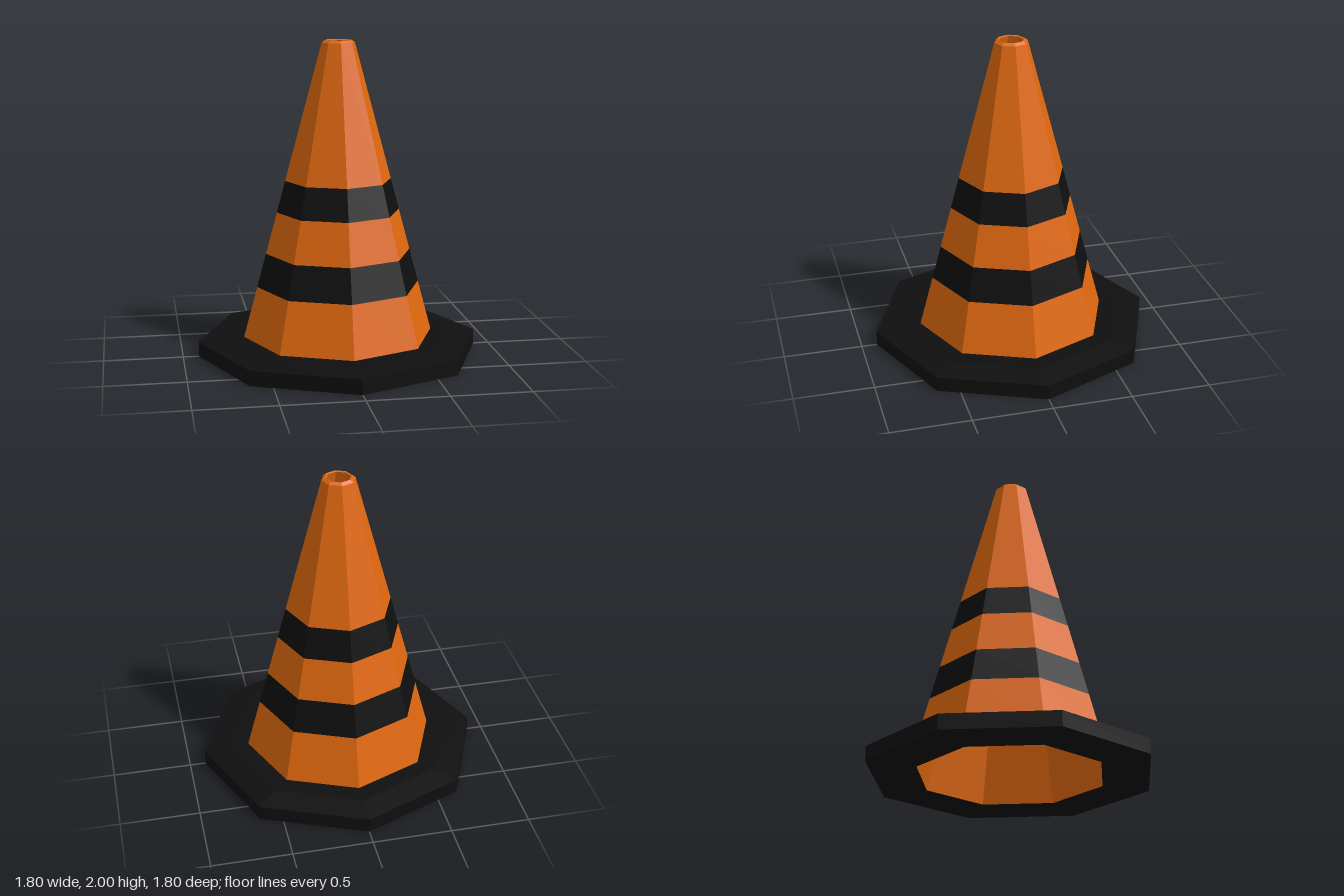
import * as THREE from 'three';

const SIDES = 8;
const orange = new THREE.MeshStandardMaterial({ color: 0xe0680f, flatShading: true });
const black = new THREE.MeshStandardMaterial({ color: 0x0f0f0f, flatShading: true });

// Outer cone wall: radius at a given height
const BOTTOM = 0.115, TOP = 1.985;
const wallRadius = (y) => THREE.MathUtils.mapLinear(y, BOTTOM, TOP, 0.61, 0.105);

// Octagonal ring turned from [radius, height] points
function turned(name, points, material) {
  const profile = points.map(([r, y]) => new THREE.Vector2(r, y));
  const mesh = new THREE.Mesh(new THREE.LatheGeometry(profile, SIDES), material);
  mesh.name = name;
  return mesh;
}

export function createModel() {
  const group = new THREE.Group();
  group.name = 'trafficCone';

  // Base plate with a sloped rim and an open centre
  group.add(turned('base', [[0.59, 0], [0.9, 0], [0.9, 0.095], [0.73, 0.115], [0.6, 0.115]], black));

  // Cone wall in alternating orange sections and black stripes
  const heights = [BOTTOM, 0.44, 0.655, 0.92, 1.12, TOP];
  for (let i = 0; i < heights.length - 1; i++) {
    const [a, b] = [heights[i], heights[i + 1]];
    const stripe = i % 2 === 1;
    group.add(turned(
      (stripe ? 'stripe' : 'coneSection') + (Math.floor(i / 2) + 1),
      [[wallRadius(a), a], [wallRadius(b), b]],
      stripe ? black : orange,
    ));
  }

  // Bevelled lip around the top hole
  group.add(turned('topLip', [[wallRadius(TOP), TOP], [0.085, 2], [0.075, 1.995]], orange));

  // Hollow inside, open at both ends
  group.add(turned('innerWall', [[0.075, 1.995], [0.59, 0]], orange));

  return group;
}
